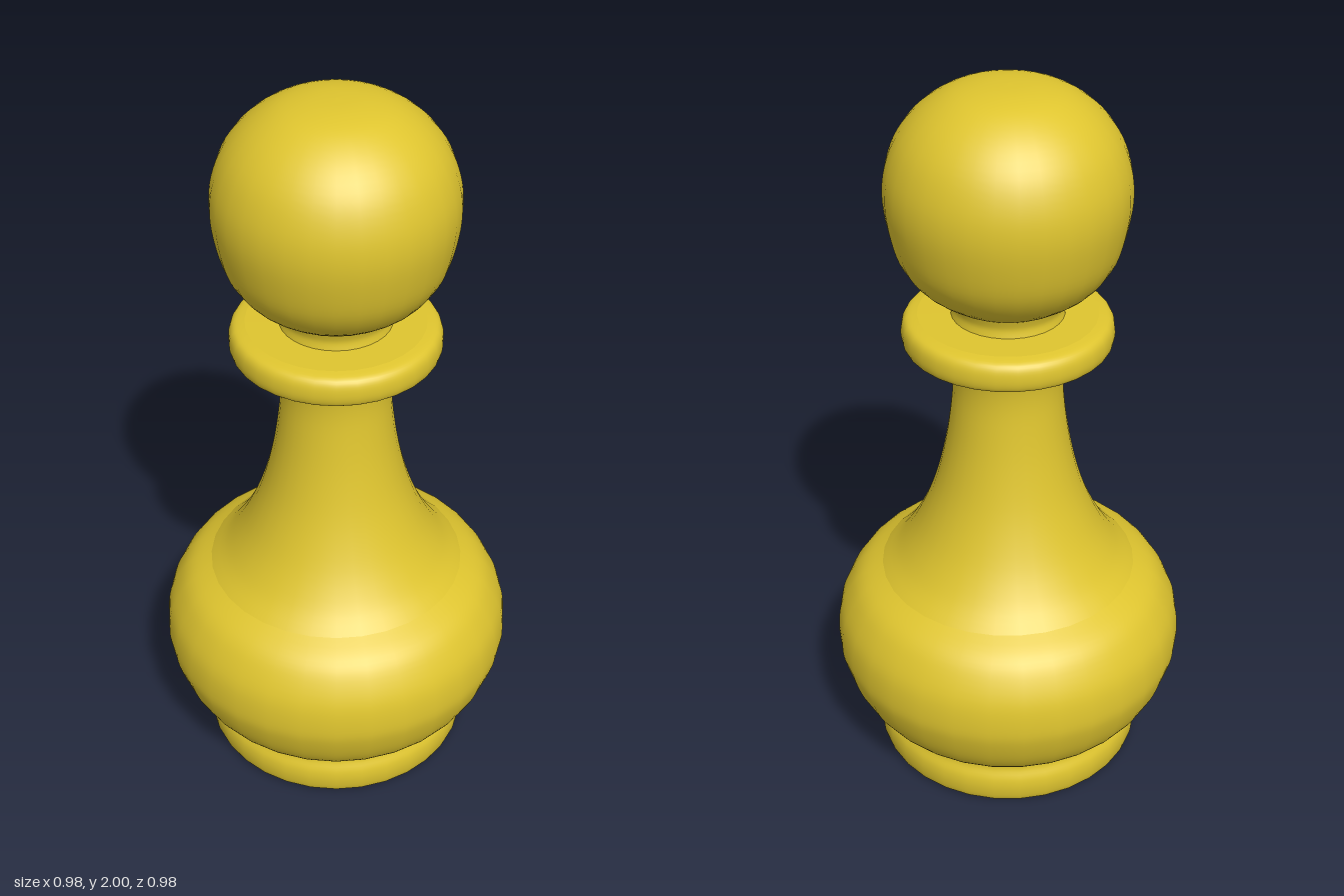
import * as THREE from 'three';

const SIDES = 32;

// Turn a smooth curve through [radius, height] points around the y axis.
function turned(name, points, material, steps) {
  const curve = new THREE.SplineCurve(points.map(([r, y]) => new THREE.Vector2(r, y)));
  const profile = curve.getPoints(steps);
  profile.forEach((p) => { p.x = Math.max(p.x, 0); });
  const mesh = new THREE.Mesh(new THREE.LatheGeometry(profile, SIDES), material);
  mesh.name = name;
  return mesh;
}

export function createModel() {
  const group = new THREE.Group();
  group.name = 'pawn';
  const gold = new THREE.MeshStandardMaterial({ color: 0xdfc52f });
  gold.name = 'gold';

  // Flat underside
  const underside = new THREE.Mesh(new THREE.CircleGeometry(0.355, SIDES), gold);
  underside.name = 'underside';
  underside.rotation.x = Math.PI / 2;
  group.add(underside);

  // Foot ring with rounded lower edge
  group.add(turned('foot', [
    [0.355, 0], [0.374, 0.012], [0.381, 0.05], [0.378, 0.085], [0.366, 0.115], [0.364, 0.137],
  ], gold, 20));

  // Bulging body
  group.add(turned('body', [
    [0.364, 0.137], [0.415, 0.175], [0.455, 0.235], [0.482, 0.31], [0.49, 0.37],
    [0.48, 0.45], [0.447, 0.52], [0.41, 0.563], [0.355, 0.597],
  ], gold, 32));

  // Tapering stem, flaring out under the collar
  group.add(turned('stem', [
    [0.355, 0.597], [0.305, 0.65], [0.25, 0.74], [0.202, 0.86], [0.17, 0.99],
    [0.151, 1.12], [0.147, 1.2], [0.155, 1.26], [0.17, 1.287], [0.195, 1.3],
  ], gold, 36));

  // Collar: flat underside, rounded rim, flat top
  group.add(turned('collarUnderside', [[0.19, 1.3], [0.258, 1.3]], gold, 1));
  group.add(turned('collarRim', [
    [0.258, 1.3], [0.272, 1.307], [0.278, 1.33], [0.275, 1.36], [0.262, 1.378], [0.235, 1.385],
  ], gold, 20));
  group.add(turned('collarTop', [[0.235, 1.385], [0.148, 1.386]], gold, 1));

  // Short neck
  group.add(turned('neck', [[0.148, 1.386], [0.144, 1.408], [0.15, 1.432]], gold, 8));

  // Rounded head
  group.add(turned('head', [
    [0.15, 1.432], [0.19, 1.457], [0.24, 1.498], [0.28, 1.56], [0.302, 1.64], [0.311, 1.72],
    [0.302, 1.795], [0.272, 1.87], [0.22, 1.932], [0.15, 1.977], [0.075, 1.996], [0, 2],
  ], gold, 44));

  return group;
}
